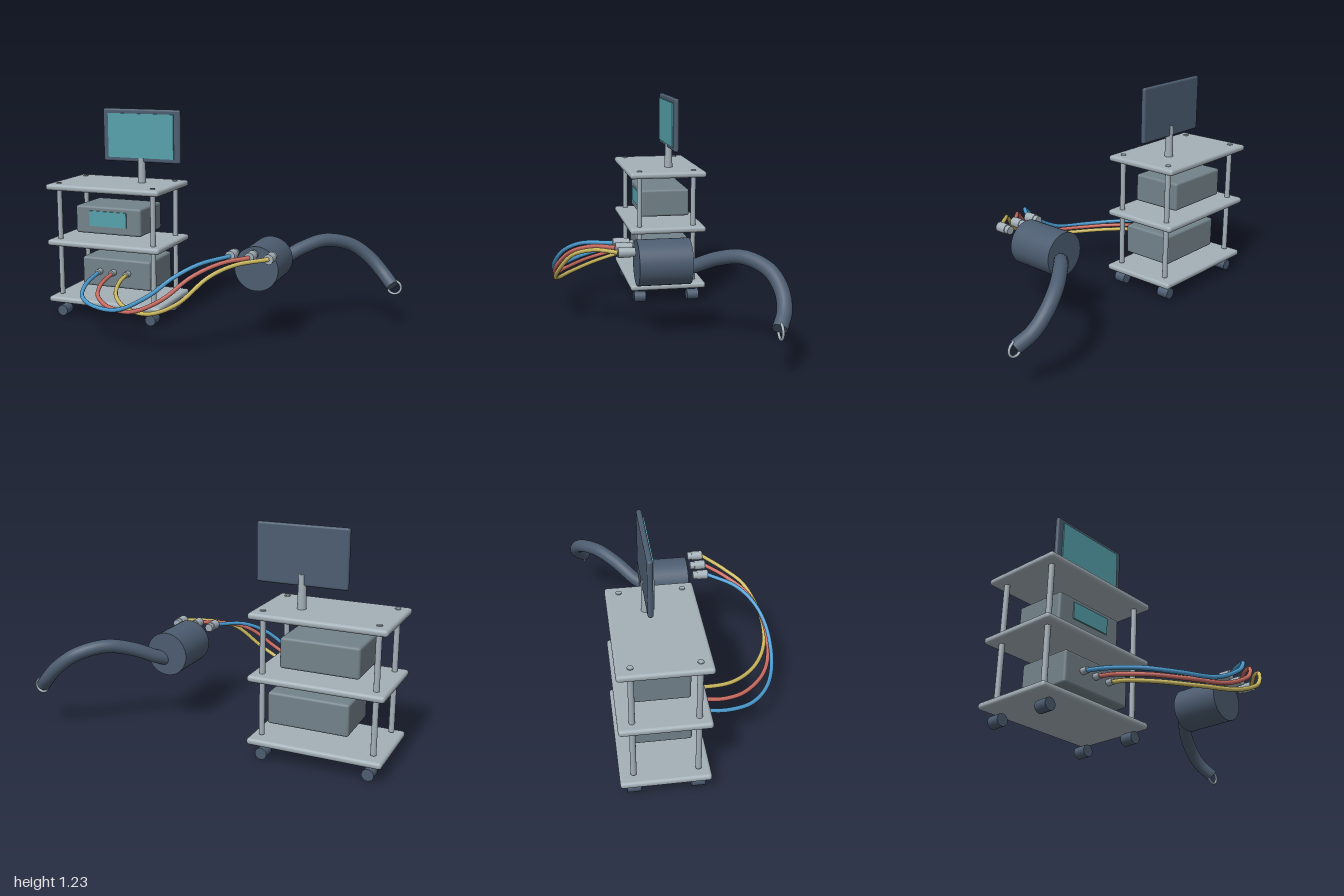
import * as THREE from 'three';
import { RoundedBoxGeometry } from 'three/addons/geometries/RoundedBoxGeometry.js';

const mat = (name, color) => Object.assign(new THREE.MeshStandardMaterial({ color }), { name });

export function createModel() {
  const model = new THREE.Group();
  model.name = 'equipmentCart';
  const steel = mat('light steel', 0xa3afb7);
  const casing = mat('grey casing', 0x73828a);
  const slate = mat('dark slate', 0x4c5c70);
  const glass = mat('teal screen', 0x56a1ab);
  const blue = mat('blue cable', 0x4a9bd0);
  const red = mat('red cable', 0xcb6c62);
  const yellow = mat('yellow cable', 0xccb960);

  const add = (name, geometry, material, x = 0, y = 0, z = 0) => {
    const mesh = new THREE.Mesh(geometry, material);
    mesh.name = name;
    mesh.position.set(x, y, z);
    model.add(mesh);
    return mesh;
  };
  // Box given by its limits on each axis
  const block = (name, material, [x0, x1], [y0, y1], [z0, z1], radius) => {
    const size = [x1 - x0, y1 - y0, z1 - z0];
    const geometry = radius ? new RoundedBoxGeometry(...size, 3, radius) : new THREE.BoxGeometry(...size);
    return add(name, geometry, material, (x0 + x1) / 2, (y0 + y1) / 2, (z0 + z1) / 2);
  };
  // Cylinder lying along z
  const drum = (name, material, r, x, y, z0, z1, sides = 24) =>
    add(name, new THREE.CylinderGeometry(r, r, z1 - z0, sides).rotateX(Math.PI / 2), material, x, y, (z0 + z1) / 2);
  const curve = (points) => new THREE.CatmullRomCurve3(points.map((p) => new THREE.Vector3(...p)));

  // Shelves
  for (const y of [0.103, 0.447, 0.777]) {
    block('shelf', steel, [-1, -0.28], [y - 0.018, y + 0.018], [-0.385, 0.07], 0.016);
  }

  // Posts and casters
  for (const z of [0.008, -0.315]) {
    for (const x of [-0.94, -0.34]) {
      add('post', new THREE.CylinderGeometry(0.015, 0.015, 0.67, 20), steel, x, 0.465, z);
    }
    for (const x of [-0.925, -0.35]) drum('caster', slate, 0.032, x, 0.032, z - 0.035, z + 0.035);
  }

  // Instrument boxes
  block('upperInstrument', casing, [-0.85, -0.43], [0.503, 0.667], [-0.31, -0.018], 0.014);
  block('instrumentScreen', glass, [-0.757, -0.52], [0.55, 0.64], [-0.02, -0.011]);
  block('lowerInstrument', casing, [-0.805, -0.367], [0.192, 0.366], [-0.31, -0.003], 0.014);

  // Monitor on a tapered stand
  add('monitorStand', new THREE.CylinderGeometry(0.02, 0.024, 0.185, 24), steel, -0.5, 0.882, -0.195);
  block('monitorFrame', slate, [-0.743, -0.253], [0.915, 1.225], [-0.21, -0.182], 0.012);
  block('monitorScreen', glass, [-0.706, -0.29], [0.94, 1.198], [-0.183, -0.174]);

  // Drive housing
  drum('housing', slate, 0.122, 0.315, 0.422, -0.15, 0.13, 40);

  // Flexible arm with an end ring
  const arm = curve([
    [0.33, 0.385, -0.12], [0.37, 0.41, -0.175], [0.46, 0.465, -0.265], [0.57, 0.497, -0.37],
    [0.7, 0.46, -0.467], [0.8, 0.385, -0.5], [0.88, 0.305, -0.49], [0.945, 0.243, -0.448],
  ]);
  add('flexibleArm', new THREE.TubeGeometry(arm, 64, 0.038, 20), slate);
  const cap = add('armEnd', new THREE.CircleGeometry(0.038, 20), slate, ...arm.getPoint(1).toArray());
  cap.lookAt(arm.getPoint(1).add(arm.getTangent(1)));
  add('endRing', new THREE.TorusGeometry(0.038, 0.007, 12, 32), steel, 0.955, 0.235, -0.45);

  // Cables with a socket at the cart and a plug at the housing
  const cables = [
    ['blueCable', blue, [
      [-0.688, 0.285, 0.01], [-0.69, 0.265, 0.12], [-0.68, 0.25, 0.2], [-0.625, 0.23, 0.334],
      [-0.5, 0.22, 0.446], [-0.315, 0.238, 0.518], [-0.13, 0.335, 0.525], [-0.02, 0.425, 0.478],
      [0.085, 0.485, 0.39], [0.205, 0.507, 0.235],
    ]],
    ['redCable', red, [
      [-0.6, 0.285, 0.01], [-0.602, 0.265, 0.12], [-0.592, 0.25, 0.19], [-0.54, 0.232, 0.31],
      [-0.396, 0.22, 0.446], [-0.235, 0.235, 0.515], [-0.06, 0.32, 0.525], [0.075, 0.435, 0.455],
      [0.19, 0.49, 0.345], [0.31, 0.507, 0.235],
    ]],
    ['yellowCable', yellow, [
      [-0.508, 0.285, 0.01], [-0.505, 0.268, 0.11], [-0.45, 0.238, 0.27], [-0.315, 0.22, 0.42],
      [-0.13, 0.235, 0.515], [0.03, 0.31, 0.525], [0.165, 0.44, 0.45], [0.27, 0.49, 0.35],
      [0.415, 0.507, 0.235],
    ]],
  ];
  for (const [name, material, points] of cables) {
    add(name, new THREE.TubeGeometry(curve(points), 80, 0.0115, 10), material);
    const [sx, sy] = points[0];
    drum('socket', steel, 0.018, sx, sy, -0.005, 0.033);
    const [px, py] = points[points.length - 1];
    drum('plugNeck', steel, 0.023, px, py, 0.152, 0.18);
    drum('plugBody', steel, 0.027, px, py, 0.178, 0.24);
  }

  return model;
}
